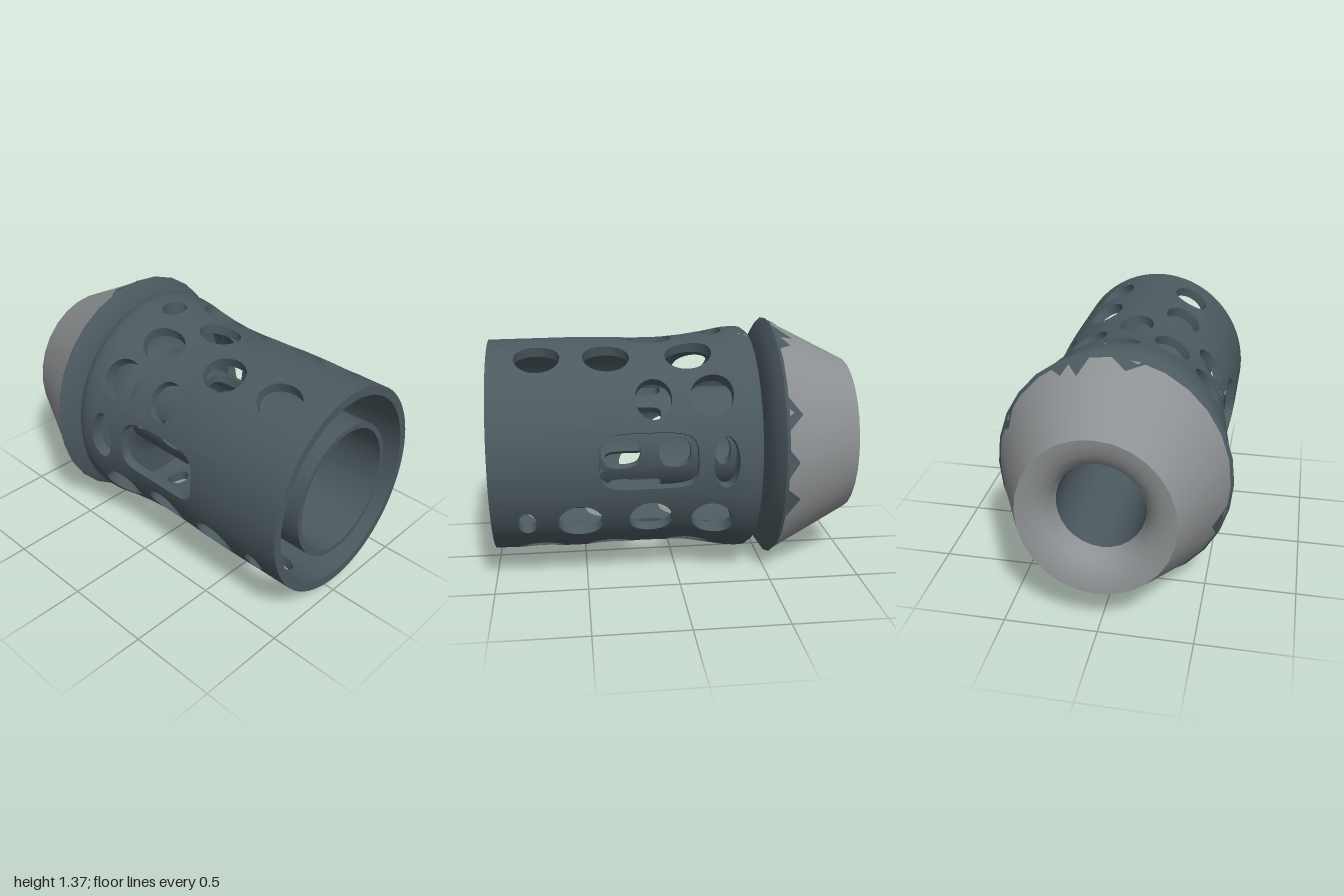
import * as THREE from 'three';
import { toCreasedNormals } from 'three/addons/utils/BufferGeometryUtils.js';

const AXIS = 0.685; // height of the long axis
const SQUASH = 0.92; // cross-section is slightly narrower in z
const RAD = Math.PI / 180;

const dark = new THREE.MeshStandardMaterial({ color: 0x4c5a60 });
const pale = new THREE.MeshStandardMaterial({ color: 0x8e9193 });

// Point at length x, angle a (degrees from the top towards +z), radius r
const point = (x, a, r) => [x, AXIS + r * Math.cos(a * RAD), SQUASH * r * Math.sin(a * RAD)];

// Piecewise-linear radius from [x, r] pairs
function radius(table) {
  return (x) => {
    for (let i = 1; i < table.length; i++) {
      const [x0, r0] = table[i - 1], [x1, r1] = table[i];
      if (x <= x1) return r0 + (r1 - r0) * Math.max(0, (x - x0) / (x1 - x0));
    }
    return table[table.length - 1][1];
  };
}

// Grid of quads over f(u, v), with u and v from 0 to 1
function patch(out, f, nu, nv, flip) {
  for (let i = 0; i < nu; i++) {
    for (let j = 0; j < nv; j++) {
      const a = f(i / nu, j / nv), b = f((i + 1) / nu, j / nv);
      const c = f((i + 1) / nu, (j + 1) / nv), d = f(i / nu, (j + 1) / nv);
      if (flip) out.push(...a, ...c, ...b, ...a, ...d, ...c);
      else out.push(...a, ...b, ...c, ...a, ...c, ...d);
    }
  }
}

const mix = (a, b, t) => a + (b - a) * t;

// Point on the outline of the square [-1, 1], counter-clockwise
function squareAt(t) {
  const s = (t % 1) * 4, side = Math.floor(s), k = (s - side) * 2 - 1;
  return [[1, k], [-k, 1], [-1, -k], [k, -1]][side];
}

// Tube with wall thickness; each band [a0, a1, holes] has holes
// [x, half length, half angle, centre angle, roundness power]
function perforatedTube(x0, x1, outer, inner, bands) {
  const out = [];
  const skin = (f, nu, nv) => {
    patch(out, (u, v) => { const [x, a] = f(u, v); return point(x, a, outer(x)); }, nu, nv, false);
    patch(out, (u, v) => { const [x, a] = f(u, v); return point(x, a, inner(x)); }, nu, nv, true);
  };
  for (const [a0, a1, holes] of bands) {
    const na = Math.ceil((a1 - a0) / 5);
    const plain = (xa, xb) => {
      if (xb - xa > 1e-4) skin((u, v) => [mix(xa, xb, v), mix(a0, a1, u)], na, Math.ceil((xb - xa) / 0.04));
    };
    let from = x0;
    for (const [x, hx, ha, ac = (a0 + a1) / 2, power = 2] of holes) {
      const m = 0.02, xa = x - hx - m, xb = x + hx + m;
      plain(from, xa);
      from = xb;
      const rim = (t) => {
        const [p, q] = squareAt(t);
        const k = Math.pow(Math.abs(p) ** power + Math.abs(q) ** power, -1 / power);
        return [x + p * k * hx, ac + q * k * ha];
      };
      // surface around the hole, then the wall of the hole
      skin((u, v) => {
        const [p, q] = squareAt(u), [hX, hA] = rim(u);
        return [mix(hX, mix(xa, xb, (p + 1) / 2), v), mix(hA, mix(a0, a1, (q + 1) / 2), v)];
      }, 32, 3);
      patch(out, (u, v) => {
        const [hX, hA] = rim(u);
        return point(hX, hA, mix(outer(hX), inner(hX), v));
      }, 32, 1, true);
    }
    plain(from, x1);
    // end rims
    for (const x of [x0, x1]) {
      patch(out, (u, v) => point(x, mix(a0, a1, u), mix(outer(x), inner(x), v)), na, 1, x === x0);
    }
  }
  const g = new THREE.BufferGeometry();
  g.setAttribute('position', new THREE.Float32BufferAttribute(out, 3));
  g.computeVertexNormals();
  return toCreasedNormals(g, 0.6);
}

// Copies bands to the other side of the tube
const mirrorBands = (bands) => bands.flatMap(([a0, a1, holes]) => [
  [a0, a1, holes],
  [-a1, -a0, holes.map(([x, hx, ha, ac = (a0 + a1) / 2, p]) => [x, hx, ha, -ac, p])],
]);

// Turned part about the long axis, profile as [x, r]
function turned(profile, crease = 0.5) {
  const g = new THREE.LatheGeometry(profile.map(([x, r]) => new THREE.Vector2(r, x)), 28);
  g.rotateZ(-Math.PI / 2).rotateX(Math.PI / 2).scale(1, 1, SQUASH).translate(0, AXIS, 0);
  return toCreasedNormals(g, crease);
}

export function createModel() {
  const group = new THREE.Group();
  const add = (name, geometry, material = dark) => {
    const mesh = new THREE.Mesh(geometry, material);
    mesh.name = name;
    group.add(mesh);
  };

  // Conical nose with a dished mouth
  add('noseCone', turned([
    [-0.85, 0.25], [-0.91, 0.265], [-0.95, 0.295], [-0.98, 0.345], [-0.995, 0.4], [-1, 0.44], [-0.56, 0.668],
  ]), pale);

  // Dark flange behind the cone and the bore through it
  add('flange', turned([
    [-0.56, 0.668], [-0.54, 0.685], [-0.51, 0.64], [-0.485, 0.56], [-0.475, 0.48], [-0.475, 0.28],
  ]));
  add('noseBore', turned([[-0.46, 0.25], [-0.86, 0.25]]));

  // Dark pointed teeth reaching from the flange onto the cone
  const coneR = (x) => 0.44 + (x + 1) * 0.518 + 0.004;
  const teeth = [];
  for (const [a, tip, half] of [[108, -0.67, 9], [8, -0.63, 9], [-16, -0.66, 6], [-25, -0.63, 6],
    [-65, -0.64, 8], [-88, -0.62, 7], [-108, -0.64, 8]]) {
    teeth.push(...point(-0.555, a - half, coneR(-0.555)), ...point(-0.555, a + half, coneR(-0.555)),
      ...point(tip, a, coneR(tip)));
  }
  const teethGeometry = new THREE.BufferGeometry();
  teethGeometry.setAttribute('position', new THREE.Float32BufferAttribute(teeth, 3));
  teethGeometry.computeVertexNormals();
  const teethMaterial = dark.clone();
  teethMaterial.side = THREE.DoubleSide;
  add('flangeTeeth', teethGeometry, teethMaterial);

  // Outer sleeve with rows of round holes and a long slot on each side
  const sleeveR = radius([[-0.43, 0.61], [-0.41, 0.632], [-0.37, 0.638], [-0.3, 0.634], [-0.2, 0.615],
    [-0.08, 0.597], [0.05, 0.585], [0.2, 0.584], [0.4, 0.592], [0.55, 0.594], [1, 0.59]]);
  const sleeveInner = radius([[-0.43, 0.56], [-0.3, 0.565], [0.05, 0.535], [1, 0.54]]);
  const endRow = [[-0.23, 0.055, 8], [0.12, 0.125, 10]];
  const longRow = [[-0.07, 0.125, 11], [0.37, 0.125, 11], [0.735, 0.122, 11]];
  add('sleeve', perforatedTube(-0.43, 1, sleeveR, sleeveInner, [
    [-12, 12, endRow],
    [168, 192, endRow],
    ...mirrorBands([
      [12, 38.5, longRow],
      [38.5, 67.5, [[-0.17, 0.112, 11.5], [0.135, 0.097, 11.5]]],
      [67.5, 105, [[-0.235, 0.067, 13, 87], [0.17, 0.262, 15, 86, 4]]],
      [105, 137.5, [[-0.175, 0.112, 11.5], [0.155, 0.117, 11.5], [0.53, 0.12, 11.5], [0.81, 0.05, 8]]],
      [137.5, 168, longRow.map(([x, hx, ha]) => [x, hx, ha, 154.5])],
    ]),
  ]));

  // Plate joining the sleeve to the barrel
  add('sleeveBase', turned([
    [-0.34, 0.29], [-0.425, 0.29], [-0.425, 0.585], [-0.385, 0.585], [-0.385, 0.4], [-0.37, 0.34], [-0.34, 0.3],
  ], 0.7));

  // Inner barrel: narrow windowed part, then a wider socket at the open end
  const barrelR = radius([[-0.48, 0.295], [0.41, 0.295], [0.48, 0.385], [1, 0.385]]);
  const barrelInner = radius([[-0.48, 0.25], [0.43, 0.25], [0.5, 0.355], [1, 0.355]]);
  const capWindow = [[0.15, 0.09, 17, undefined, 4]];
  const diagonalWindow = [[0.22, 0.15, 10, undefined, 4]];
  add('innerBarrel', perforatedTube(-0.48, 0.99, barrelR, barrelInner, [
    [-25, 25, capWindow],
    [155, 205, capWindow],
    ...mirrorBands([
      [25, 70, diagonalWindow],
      [70, 110, [[-0.265, 0.045, 16], [0, 0.088, 17, 90, 2.6], [0.3, 0.108, 17, 90, 2.6]]],
      [110, 155, diagonalWindow],
    ]),
  ]));

  return group;
}
